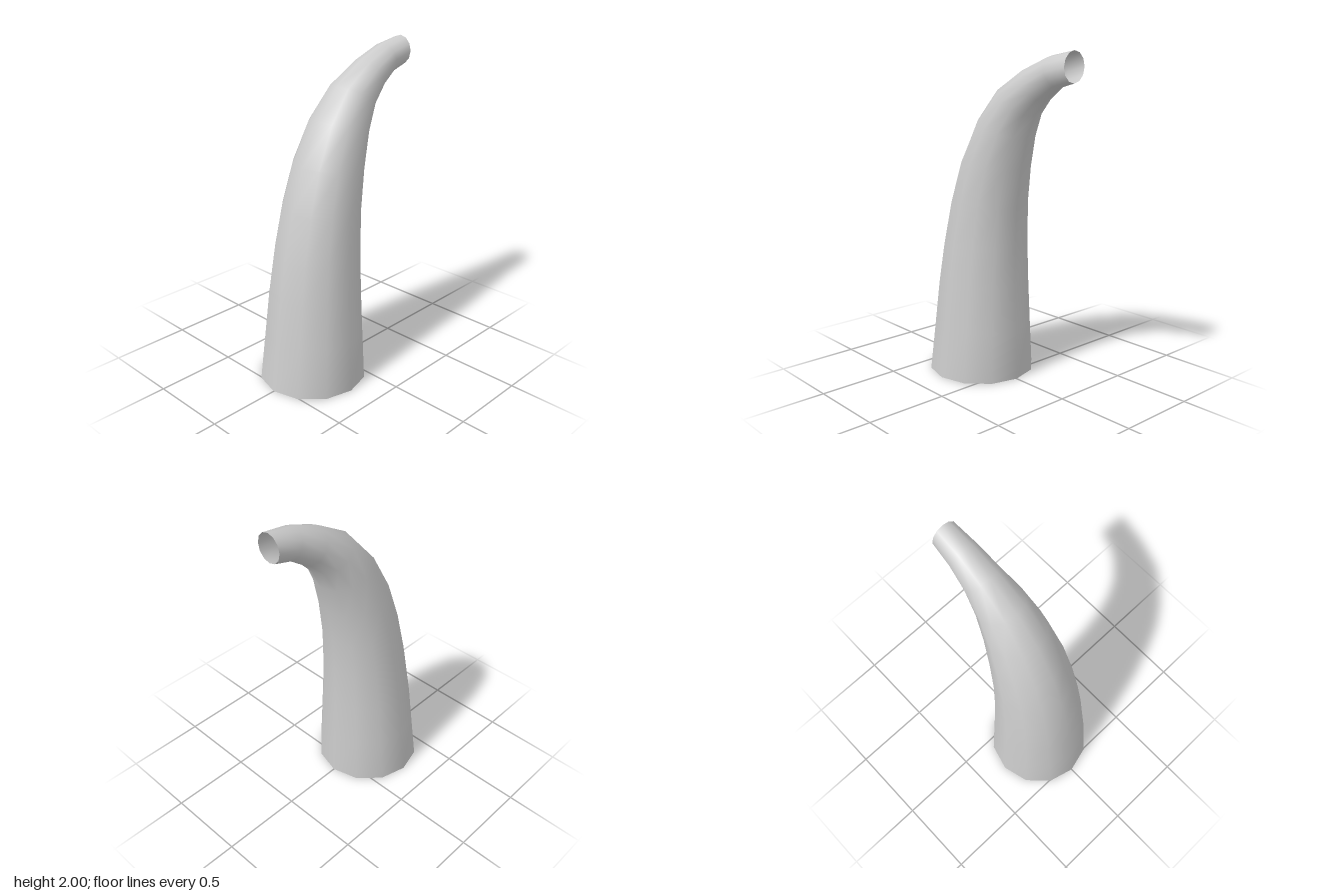
import * as THREE from 'three';

// Cross-sections from base to tip: front edge z, y, back edge z, y, half width in x
const SECTIONS = [
  [0.55, 0.0, -0.11, 0.0, 0.33],
  [0.51, 0.31, -0.1, 0.31, 0.305],
  [0.475, 0.58, -0.092, 0.59, 0.284],
  [0.435, 0.82, -0.094, 0.84, 0.262],
  [0.37, 1.1, -0.105, 1.08, 0.239],
  [0.285, 1.355, -0.14, 1.31, 0.214],
  [0.16, 1.595, -0.19, 1.5, 0.181],
  [0.0, 1.78, -0.25, 1.63, 0.147],
  [-0.2, 1.9, -0.33, 1.715, 0.115],
  [-0.38, 1.97, -0.44, 1.795, 0.094],
  [-0.55, 2.0, -0.55, 1.825, 0.08],
];
const SIDES = 12;

// Skin of elliptical rings, open at both ends
function hornGeometry() {
  const positions = [];
  const indices = [];
  SECTIONS.forEach(([fz, fy, bz, by, w], i) => {
    for (let j = 0; j < SIDES; j++) {
      const a = (j / SIDES) * Math.PI * 2;
      const t = (1 + Math.cos(a)) / 2; // 1 at the front edge, 0 at the back
      positions.push(w * Math.sin(a), by + (fy - by) * t, bz + (fz - bz) * t);
      if (i === SECTIONS.length - 1) continue;
      const k = (j + 1) % SIDES;
      const p = i * SIDES + j, q = i * SIDES + k;
      indices.push(p, q, q + SIDES, p, q + SIDES, p + SIDES);
    }
  });
  const geometry = new THREE.BufferGeometry();
  geometry.setAttribute('position', new THREE.Float32BufferAttribute(positions, 3));
  geometry.setIndex(indices);
  geometry.computeVertexNormals();
  return geometry;
}

export function createModel() {
  const group = new THREE.Group();
  group.name = 'curvedHorn';
  const material = new THREE.MeshStandardMaterial({ color: 0xcccccc, side: THREE.DoubleSide });
  const horn = new THREE.Mesh(hornGeometry(), material);
  horn.name = 'hornShell';
  group.add(horn);
  return group;
}
